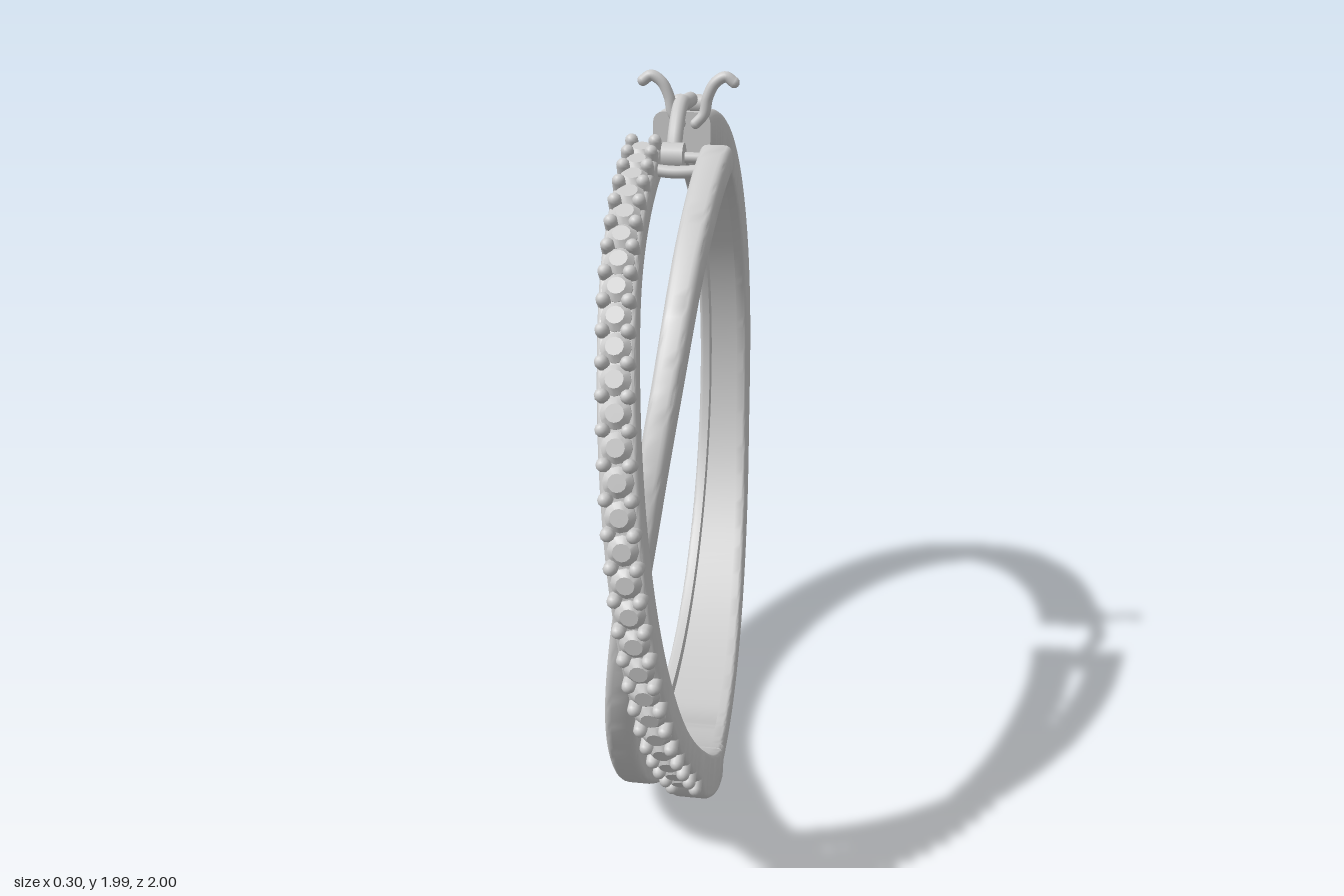
import * as THREE from 'three';
import { toCreasedNormals } from 'three/addons/utils/BufferGeometryUtils.js';

const CY = 0.945, CZ = -0.035, RAD = Math.PI / 180;
const material = new THREE.MeshStandardMaterial({ color: 0xcccccc });

// Point on the hoop: angle a in degrees from the bottom towards the front
const onHoop = (x, r, a) => new THREE.Vector3(x, CY - r * Math.cos(a * RAD), CZ + r * Math.sin(a * RAD));

// Smooth interpolation through rows of [angle, ...values]
function sample(keys, a) {
  let i = 0;
  while (i < keys.length - 2 && a > keys[i + 1][0]) i++;
  const at = k => keys[Math.max(0, Math.min(keys.length - 1, k))];
  const [p, q, r, s] = [at(i - 1), at(i), at(i + 1), at(i + 2)];
  const h = r[0] - q[0], t = Math.max(0, Math.min(1, (a - q[0]) / h));
  return q.slice(1).map((v, n) => {
    const k = n + 1;
    const m0 = (r[k] - p[k]) / (r[0] - p[0]) * h, m1 = (s[k] - q[k]) / (s[0] - q[0]) * h;
    return (2 * t ** 3 - 3 * t ** 2 + 1) * v + (t ** 3 - 2 * t ** 2 + t) * m0
      + (3 * t ** 2 - 2 * t ** 3) * r[k] + (t ** 3 - t ** 2) * m1;
  });
}

// Rounded box section with an optional groove in its inner face
function section(x0, x1, r0, r1, groove, round) {
  const pts = [];
  const corner = (x, r, rad, start) => {
    for (let k = 0; k <= 4; k++) {
      const t = (start + k * 22.5) * RAD;
      pts.push([x + rad * Math.cos(t), r + rad * Math.sin(t)]);
    }
  };
  const small = 0.012, wall = 0.032;
  corner(x1 - small, r0 + small, small, -90);
  corner(x1 - round, r1 - round, round, 0);
  corner(x0 + round, r1 - round, round, 90);
  corner(x0 + small, r0 + small, small, 180);
  pts.push([x0 + wall, r0], [x0 + wall, r0 + groove], [x1 - wall, r0 + groove], [x1 - wall, r0]);
  return pts;
}

// Sweep of keys [angle, left x, right x, inner radius, outer radius] round the hoop
function band(keys, steps, round, grooveAt = () => 0) {
  const pos = [], idx = [], a0 = keys[0][0], a1 = keys[keys.length - 1][0];
  let n = 0;
  for (let i = 0; i <= steps; i++) {
    const a = a0 + (a1 - a0) * i / steps;
    const loop = section(...sample(keys, a), grooveAt(a), round);
    n = loop.length;
    for (const [x, r] of loop) pos.push(...onHoop(x, r, a).toArray());
  }
  for (let i = 0; i < steps; i++) for (let j = 0; j < n; j++) {
    const k = (j + 1) % n, p = i * n, q = p + n;
    idx.push(p + j, q + j, p + k, q + j, q + k, p + k);
  }
  // End caps
  for (const end of [0, 1]) {
    const [x0, x1, r0, r1] = sample(keys, end ? a1 : a0), c = pos.length / 3, base = end * steps * n;
    pos.push(...onHoop((x0 + x1) / 2, (r0 + r1) / 2, end ? a1 : a0).toArray());
    for (let j = 0; j < n; j++) {
      const k = (j + 1) % n;
      idx.push(c, base + (end ? k : j), base + (end ? j : k));
    }
  }
  const geo = new THREE.BufferGeometry();
  geo.setAttribute('position', new THREE.Float32BufferAttribute(pos, 3));
  geo.setIndex(idx);
  return toCreasedNormals(geo, 0.7);
}

function add(parent, name, geometry) {
  const mesh = new THREE.Mesh(geometry, material);
  mesh.name = name;
  parent.add(mesh);
  return mesh;
}

// Round wire through points, with ball ends
function wire(parent, name, points, radius) {
  const g = new THREE.Group();
  g.name = name;
  const pts = points.map(p => new THREE.Vector3(...p));
  add(g, name + 'Rod', new THREE.TubeGeometry(new THREE.CatmullRomCurve3(pts), 32, radius, 12));
  for (const p of [pts[0], pts[pts.length - 1]])
    add(g, name + 'End', new THREE.SphereGeometry(radius, 12, 8)).position.copy(p);
  parent.add(g);
}

export function createModel() {
  const model = new THREE.Group();
  model.name = 'hoopEarring';

  // Wide back band, widening at the bottom towards the split
  const ramp = THREE.MathUtils.smoothstep;
  add(model, 'backBand', band([
    [-179, -0.11, 0.045, 0.835, 0.945], [-90, -0.11, 0.045, 0.835, 0.965], [-70, -0.11, 0.052, 0.835, 0.96],
    [-10, -0.11, 0.105, 0.835, 0.936], [12, -0.11, 0.125, 0.835, 0.937], [25, -0.11, 0.142, 0.838, 0.948],
  ], 130, 0.028, a => 0.045 * ramp(a, -174, -168) * (1 - ramp(a, -5, 12))));

  // Plain strand, crossing on the inside
  add(model, 'plainStrand', band([
    [20, -0.11, 0.005, 0.836, 0.942], [30, -0.11, -0.018, 0.835, 0.945], [42, -0.108, -0.026, 0.835, 0.94],
    [60, -0.093, -0.015, 0.835, 0.925], [80, -0.055, 0.018, 0.835, 0.915], [100, -0.005, 0.063, 0.835, 0.915],
    [122, 0.033, 0.1, 0.835, 0.915], [145, 0.046, 0.12, 0.838, 0.917], [168, 0.05, 0.132, 0.842, 0.918],
  ], 90, 0.02));

  // Stone-set strand, crossing on the outside
  const setKeys = [
    [20, 0.02, 0.139, 0.837, 0.943], [30, 0.042, 0.146, 0.845, 0.958], [42, 0.046, 0.143, 0.862, 0.976],
    [46, 0.044, 0.138, 0.868, 0.955], [66, 0.013, 0.106, 0.905, 0.985], [94, -0.038, 0.056, 0.925, 1.0],
    [121, -0.086, 0.007, 0.91, 0.98], [139, -0.115, -0.022, 0.885, 0.957], [168, -0.137, -0.045, 0.842, 0.918],
  ];
  add(model, 'stoneSetStrand', band(setKeys, 110, 0.015));

  // Stones and the pairs of prongs between them
  const stones = new THREE.Group();
  stones.name = 'stoneSetting';
  model.add(stones);
  const stoneGeo = toCreasedNormals(new THREE.LatheGeometry([
    [0.037, -0.02], [0.037, 0.004], [0.022, 0.018], [0, 0.018],
  ].map(p => new THREE.Vector2(...p)), 12), 0.4);
  const prongGeo = new THREE.CapsuleGeometry(0.017, 0.035, 4, 10);
  const COUNT = 27, A0 = 46, A1 = 166, up = new THREE.Vector3(0, 1, 0);
  const place = (name, geo, a, side, lift) => {
    const [x0, x1, , r1] = sample(setKeys, a);
    const mesh = add(stones, name, geo);
    mesh.position.copy(onHoop((x0 + x1) / 2 + side * 0.03, r1 + lift, a));
    mesh.quaternion.setFromUnitVectors(up, onHoop(0, 1, a).sub(onHoop(0, 0, a)));
  };
  for (let i = 0; i <= COUNT; i++) {
    const a = A0 + (A1 - A0) * i / COUNT;
    for (const side of [-1, 1]) place('prong', prongGeo, a, side, 0);
    if (i < COUNT) place('stone', stoneGeo, a + (A1 - A0) / COUNT / 2, 0, 0);
  }

  // Hinge between the two strand ends
  const hinge = new THREE.Group();
  hinge.name = 'hinge';
  model.add(hinge);
  wire(hinge, 'hingeBar', [[-0.07, 1.795, 0.25], [0, 1.79, 0.255], [0.075, 1.795, 0.25]], 0.016);
  wire(hinge, 'hingePin', [[-0.07, 1.815, 0.19], [0, 1.815, 0.19], [0.075, 1.815, 0.19]], 0.014);
  const knuckle = add(hinge, 'hingeKnuckle', new THREE.CylinderGeometry(0.035, 0.035, 0.055, 20));
  knuckle.rotation.z = Math.PI / 2;
  knuckle.position.set(-0.01, 1.82, 0.205);

  // Ear wire
  wire(model, 'earWire', [
    [-0.012, 1.82, 0.19], [-0.012, 1.87, 0.162], [-0.012, 1.915, 0.115], [-0.012, 1.931, 0.075],
    [-0.012, 1.925, 0.01], [-0.012, 1.921, -0.07],
  ], 0.02);

  // Forked catch on the back band
  const clasp = new THREE.Group();
  clasp.name = 'catch';
  model.add(clasp);
  for (const s of [-1, 1]) wire(clasp, 'catchArm', [
    [0.02, 1.86], [0.042, 1.885], [0.052, 1.93], [0.072, 1.968], [0.1, 1.984], [0.122, 1.97],
  ].map(([x, y]) => [-0.015 + s * x, y, -0.055]), 0.015);
  const roll = add(clasp, 'catchRoll', new THREE.CapsuleGeometry(0.025, 0.06, 6, 14));
  roll.rotation.z = Math.PI / 2;
  roll.position.set(-0.015, 1.906, -0.095);

  return model;
}
